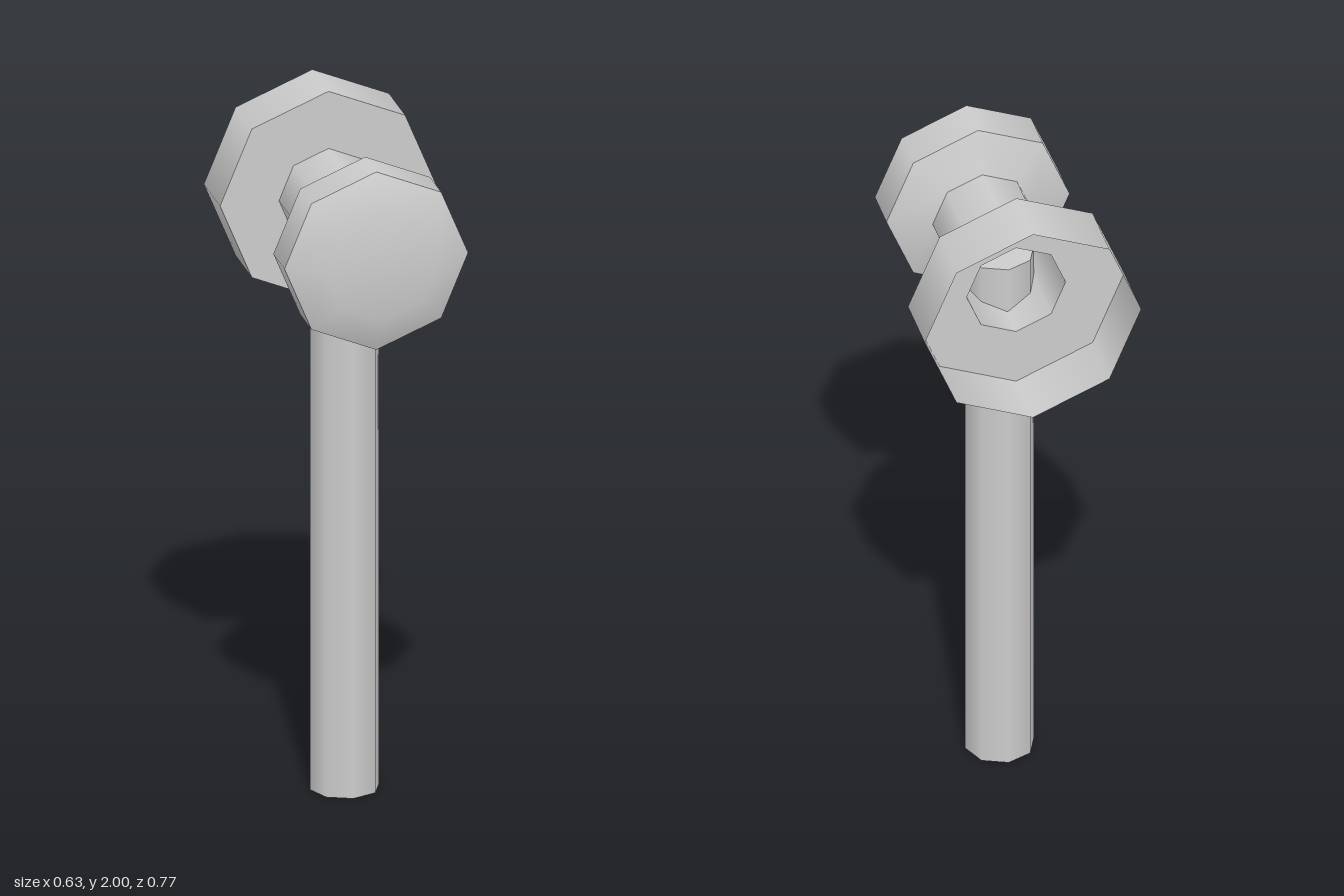
import * as THREE from 'three';

const SIDES = 8;
const HEAD_Y = 1.687;

export function createModel() {
  const model = new THREE.Group();
  model.name = 'mallet';
  const grey = new THREE.MeshStandardMaterial({ color: 0xcccccc, side: THREE.DoubleSide });
  grey.name = 'plain grey';

  // Octagonal head shell along z; each band is its own mesh so its rims stay sharp
  const head = new THREE.Group();
  head.name = 'head';
  head.position.y = HEAD_Y;
  model.add(head);

  // Profile points are [radius, z], listed from back to front
  const bands = {
    backCupWall: [[0.313, -0.384], [0.313, -0.202]],
    backCupFloor: [[0.313, -0.202], [0.143, -0.202]],
    neck: [[0.143, -0.202], [0.143, 0.164]],
    frontFlare: [[0.143, 0.164], [0.265, 0.208]],
    frontDrum: [[0.265, 0.208], [0.265, 0.333]],
    strikingFace: [[0.265, 0.333], [0.162, 0.384], [0, 0.384]],
  };
  for (const [name, profile] of Object.entries(bands)) {
    const points = profile.map(([r, z]) => new THREE.Vector2(r, z));
    const geometry = new THREE.LatheGeometry(points, SIDES).rotateX(Math.PI / 2);
    const mesh = new THREE.Mesh(geometry, grey);
    mesh.name = name;
    head.add(mesh);
  }

  // Handle, ending inside the hollow neck
  const handle = new THREE.Mesh(new THREE.CylinderGeometry(0.1, 0.1, HEAD_Y, SIDES), grey);
  handle.name = 'handle';
  handle.position.set(-0.005, HEAD_Y / 2, -0.004);
  model.add(handle);

  return model;
}
